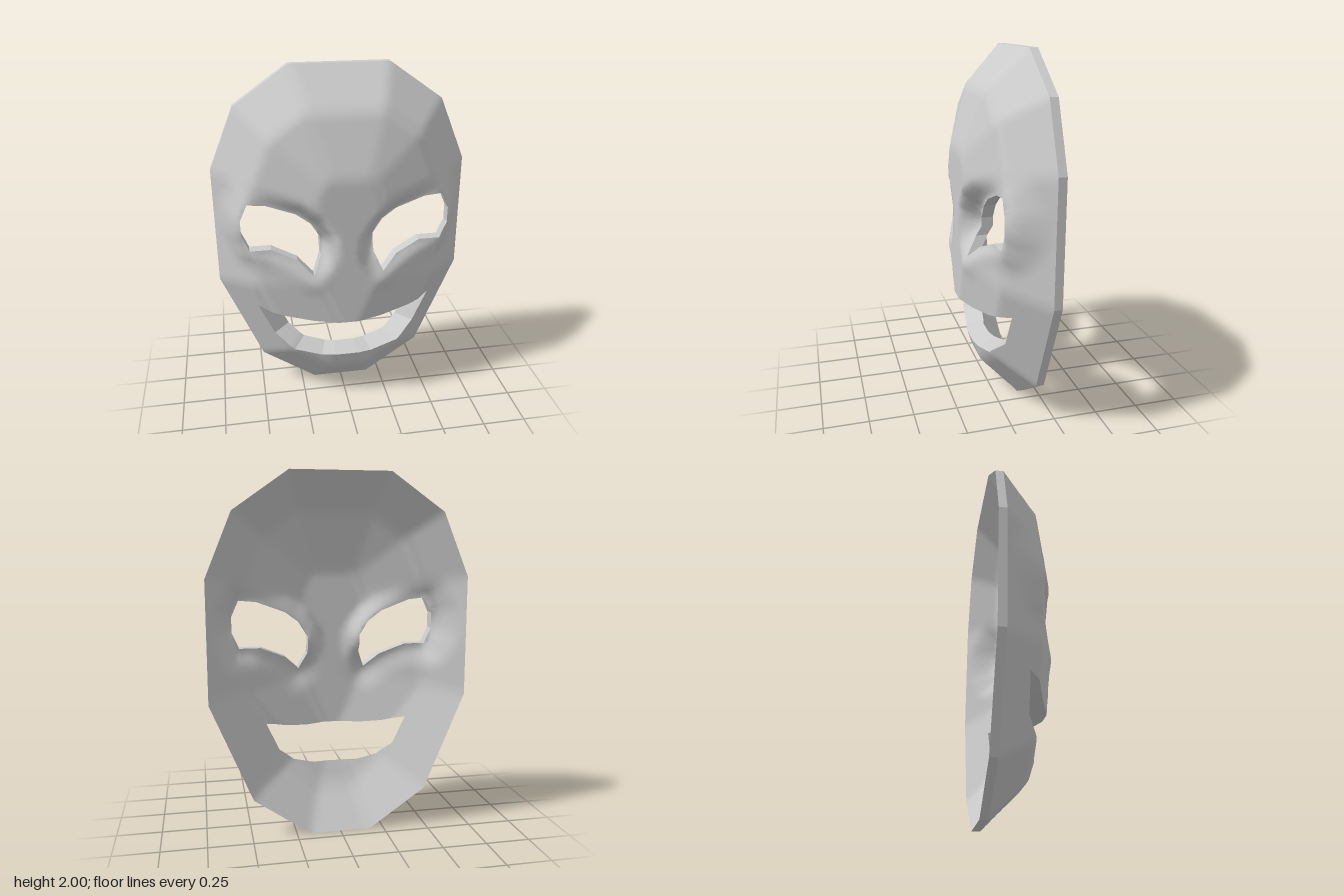
import * as THREE from 'three';

const { clamp, lerp, smoothstep } = THREE.MathUtils;
const V = (p) => new THREE.Vector2(p[0], p[1]);

// Left half of the face: outer rim, mouth notch on the centre line, eye hole
const rim = [[0, 0], [0.17, 0], [0.49, 0.22], [0.72, 0.77], [0.72, 1.44], [0.575, 1.79], [0.275, 2], [0, 2]];
const mouth = [[0, 0.592], [0.2, 0.594], [0.36, 0.615], [0.51, 0.655], [0.42, 0.46], [0.31, 0.365], [0.15, 0.32], [0, 0.32]];
const eye = [[0.15, 1.1], [0.2, 1.18], [0.28, 1.24], [0.44, 1.3], [0.54, 1.31], [0.58, 1.22],
  [0.58, 1.13], [0.54, 1.04], [0.42, 1.04], [0.28, 0.98], [0.195, 0.9], [0.15, 1.0]];

// Depth of both skins by distance from the rim, and their depth at the eye holes
const outer = { socket: 0.075, profile: [[0, -0.14], [0.21, 0.07], [0.54, 0.185]] };
const inner = { socket: 0.01, profile: [[0, -0.185], [0.21, -0.03], [0.54, 0.085]] };

// Distance inwards from the nearest rim edge, negative outside
function rimDistance(x, y) {
  let best = Infinity;
  for (let i = 1; i < rim.length; i++) {
    const [ax, ay] = rim[i - 1];
    const dx = rim[i][0] - ax, dy = rim[i][1] - ay;
    best = Math.min(best, (dx * (y - ay) - dy * (x - ax)) / Math.hypot(dx, dy));
  }
  return best;
}

// Distance from a point to a run of segments
function distance(x, y, points, closed) {
  let best = Infinity;
  for (let i = closed ? 0 : 1; i < points.length; i++) {
    const a = points[(i + points.length - 1) % points.length], b = points[i];
    const dx = b[0] - a[0], dy = b[1] - a[1];
    const t = clamp(((x - a[0]) * dx + (y - a[1]) * dy) / (dx * dx + dy * dy), 0, 1);
    best = Math.min(best, Math.hypot(x - a[0] - t * dx, y - a[1] - t * dy));
  }
  return best;
}

// Bevelled dome, sunk towards the eye holes and raised at their outer corners
function depth(skin, xSigned, y) {
  const x = Math.abs(xSigned);
  const d = rimDistance(x, y);
  const [a, b, c] = skin.profile;
  const z = d < b[0]
    ? lerp(a[1], b[1], d / b[0])
    : lerp(b[1], c[1], Math.min(1, (d - b[0]) / (c[0] - b[0])));
  const socket = skin.socket + 0.62 * Math.max(0, 1.05 - y);
  const gap = distance(x, y, eye, true);
  if (z > socket) return lerp(socket, z, smoothstep(gap, 0, 0.08));
  return lerp(z, socket, Math.max(0, 1 - gap / 0.13) ** 2);
}

// Softened normal of a skin
const step = 0.045;
function skinNormal(skin, [x, y]) {
  return new THREE.Vector3(
    depth(skin, x - step, y) - depth(skin, x + step, y),
    depth(skin, x, y - step) - depth(skin, x, y + step),
    2 * step,
  ).normalize();
}

function frontVertex(p) {
  return { at: [p[0], p[1], depth(outer, p[0], p[1])], normal: skinNormal(outer, p).toArray() };
}

// The inner skin closes in behind the mouth
function backVertex(p) {
  const [x, y] = p;
  const pull = 0.21 * Math.max(0, 1 - distance(x, y, mouth, false) / 0.14);
  return {
    at: [x * (1 - pull), y + (0.5 - y) * pull, depth(inner, x, y)],
    normal: skinNormal(inner, p).negate().toArray(),
  };
}

// Halve long edges until every triangle is small
function split(a, b, c, out) {
  const len = (p, q) => Math.hypot(p[0] - q[0], p[1] - q[1]);
  const ab = len(a, b), bc = len(b, c), ca = len(c, a);
  const longest = Math.max(ab, bc, ca);
  if (longest < 0.036) {
    out.push([a, b, c]);
    return;
  }
  if (longest === bc) [a, b, c] = [b, c, a];
  else if (longest === ca) [a, b, c] = [c, a, b];
  const m = [(a[0] + b[0]) / 2, (a[1] + b[1]) / 2];
  split(a, m, c, out);
  split(m, b, c, out);
}

function halfFaceTriangles() {
  const contour = [...rim, ...mouth];
  const hole = [...eye];
  if (THREE.ShapeUtils.isClockWise(contour.map(V))) contour.reverse();
  if (!THREE.ShapeUtils.isClockWise(hole.map(V))) hole.reverse();
  const points = [...contour, ...hole];
  const out = [];
  for (const f of THREE.ShapeUtils.triangulateShape(contour.map(V), [hole.map(V)])) {
    let [a, b, c] = f.map((i) => points[i]);
    const area = (b[0] - a[0]) * (c[1] - a[1]) - (b[1] - a[1]) * (c[0] - a[0]);
    if (Math.abs(area) < 1e-9) continue;
    if (area < 0) [b, c] = [c, b];
    split(a, b, c, out);
  }
  return out;
}

function maskGeometry() {
  const positions = [], normals = [];
  // Each triangle is added together with its mirror image
  const add = (a, b, c) => {
    for (const v of [a, b, c]) {
      positions.push(...v.at);
      normals.push(...v.normal);
    }
    for (const { at, normal } of [a, c, b]) {
      positions.push(-at[0], at[1], at[2]);
      normals.push(-normal[0], normal[1], normal[2]);
    }
  };
  const key = (p, q) => [...p, ...q].map((n) => n.toFixed(5)).join();
  const edges = new Map();
  for (const [a, b, c] of halfFaceTriangles()) {
    add(frontVertex(a), frontVertex(b), frontVertex(c));
    add(backVertex(a), backVertex(c), backVertex(b));
    for (const [p, q] of [[a, b], [b, c], [c, a]]) edges.set(key(p, q), [p, q]);
  }
  // Walls along the rim, the eye and the mouth, but not the centre line
  for (const [p, q] of edges.values()) {
    if (edges.has(key(q, p)) || (p[0] < 1e-6 && q[0] < 1e-6)) continue;
    const corners = [frontVertex(p), backVertex(p), backVertex(q), frontVertex(q)];
    const [fp, bp, bq] = corners.map((v) => new THREE.Vector3(...v.at));
    const flat = bp.sub(fp).cross(bq.sub(fp)).normalize().toArray();
    const [a, b, c, d] = corners.map(({ at }) => ({ at, normal: flat }));
    add(a, b, c);
    add(a, c, d);
  }
  const geometry = new THREE.BufferGeometry();
  geometry.setAttribute('position', new THREE.Float32BufferAttribute(positions, 3));
  geometry.setAttribute('normal', new THREE.Float32BufferAttribute(normals, 3));
  return geometry;
}

export function createModel() {
  const group = new THREE.Group();
  group.name = 'faceMask';
  const material = new THREE.MeshStandardMaterial({ color: 0xcccccc, side: THREE.DoubleSide });
  const shell = new THREE.Mesh(maskGeometry(), material);
  shell.name = 'maskShell';
  group.add(shell);
  return group;
}
